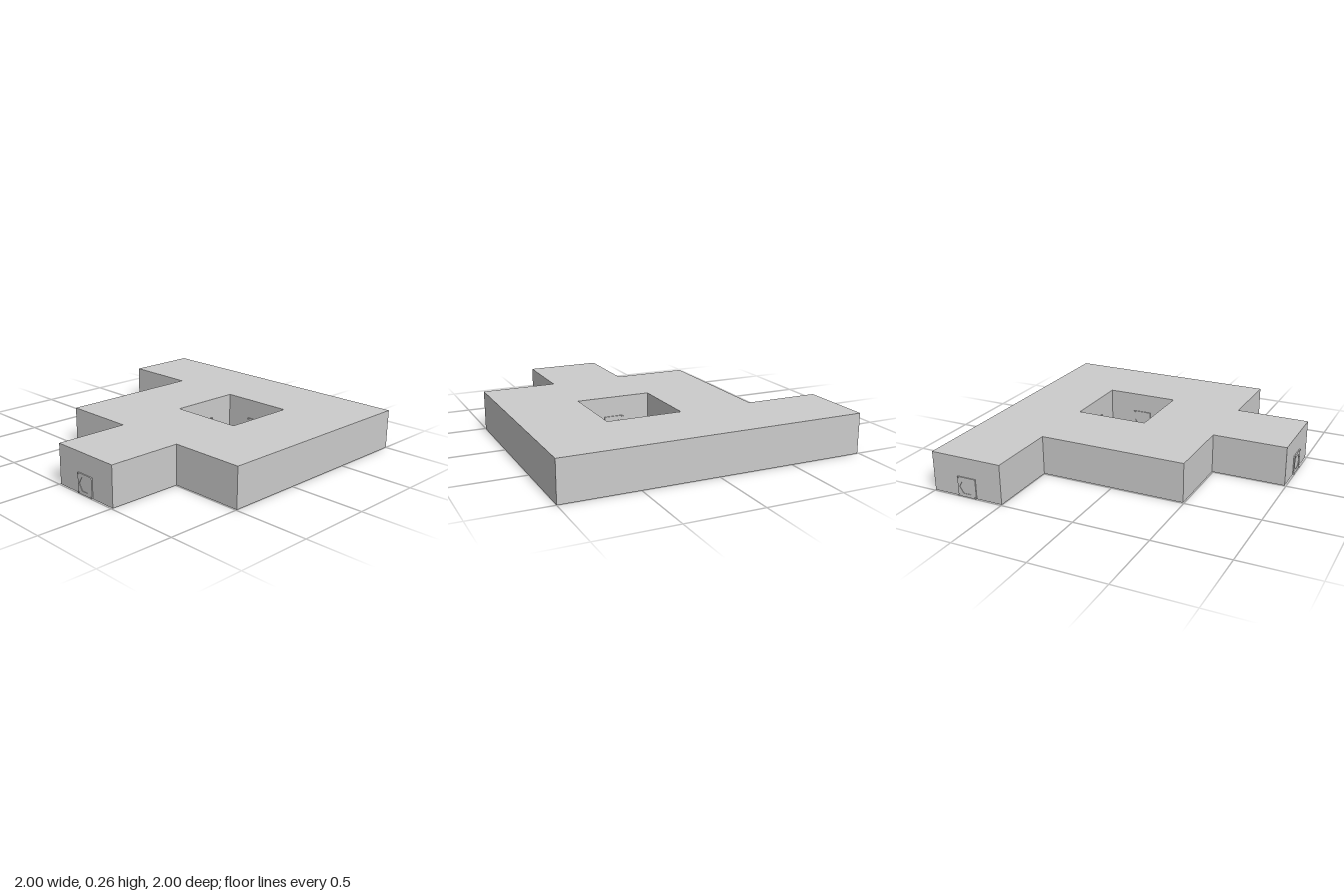
import * as THREE from 'three';

const CELL = 0.4975, HEIGHT = 0.265;
const px = i => -0.99 + i * CELL; // grid line to x
const pz = j => -1 + j * CELL; // grid line to z

const material = new THREE.MeshStandardMaterial({ color: 0xcccccc, flatShading: true });

function addMesh(parent, name, geometry) {
  const mesh = new THREE.Mesh(geometry, material);
  mesh.name = name;
  parent.add(mesh);
  return mesh;
}

// Grid corners to points of a flat outline (outline y is -z)
const outline = corners => corners.map(([i, j]) => new THREE.Vector2(px(i), -pz(j)));

const extrude = (shape, depth) => new THREE.ExtrudeGeometry(shape, { depth, bevelEnabled: false });

// Thin square plate with a shallow hexagonal recess and a small stud at each corner; faces +z
function createWallPlate() {
  const plate = new THREE.Group();
  plate.name = 'wallPlate';
  const h = 0.066, stud = 0.01;
  const square = new THREE.Shape([[-h, -h], [h, -h], [h, h], [-h, h]].map(p => new THREE.Vector2(...p)));
  const hexagon = [];
  for (let k = 0; k < 6; k++) {
    const a = k * Math.PI / 3;
    hexagon.push(new THREE.Vector2(0.054 * Math.cos(a), 0.05 * Math.sin(a)));
  }
  square.holes.push(new THREE.Path(hexagon));
  addMesh(plate, 'plateFrame', extrude(square, 0.007));
  addMesh(plate, 'recessFloor', extrude(new THREE.Shape(hexagon), 0.004));
  for (const sx of [-1, 1]) for (const sy of [-1, 1]) {
    addMesh(plate, 'cornerStud', new THREE.BoxGeometry(stud, stud, 0.01))
      .position.set(sx * (h - stud / 2), sy * (h - stud / 2), 0.005);
  }
  return plate;
}

export function createModel() {
  const model = new THREE.Group();
  model.name = 'floorBlock';

  // Stepped slab with a square well through it, outline counter-clockwise
  const slab = new THREE.Shape(outline([
    [0, 0], [0, 1], [1, 1], [1, 3], [2, 3], [2, 4], [3, 4], [3, 3], [4, 3], [4, 0],
  ]));
  slab.holes.push(new THREE.Path(outline([[2, 1], [3, 1], [3, 2], [2, 2]])));
  const body = extrude(slab, HEIGHT);
  body.rotateX(-Math.PI / 2);
  addMesh(model, 'slab', body);

  // Plates on the two arm ends and the four walls of the well: grid x, grid z, turn
  const plates = [
    [2.5, 4, 0],
    [0, 0.5, -Math.PI / 2],
    [2.5, 1, 0],
    [2.5, 2, Math.PI],
    [2, 1.5, Math.PI / 2],
    [3, 1.5, -Math.PI / 2],
  ];
  for (const [i, j, turn] of plates) {
    const plate = createWallPlate();
    plate.position.set(px(i), 0.067, pz(j));
    plate.rotation.y = turn;
    model.add(plate);
  }
  return model;
}
